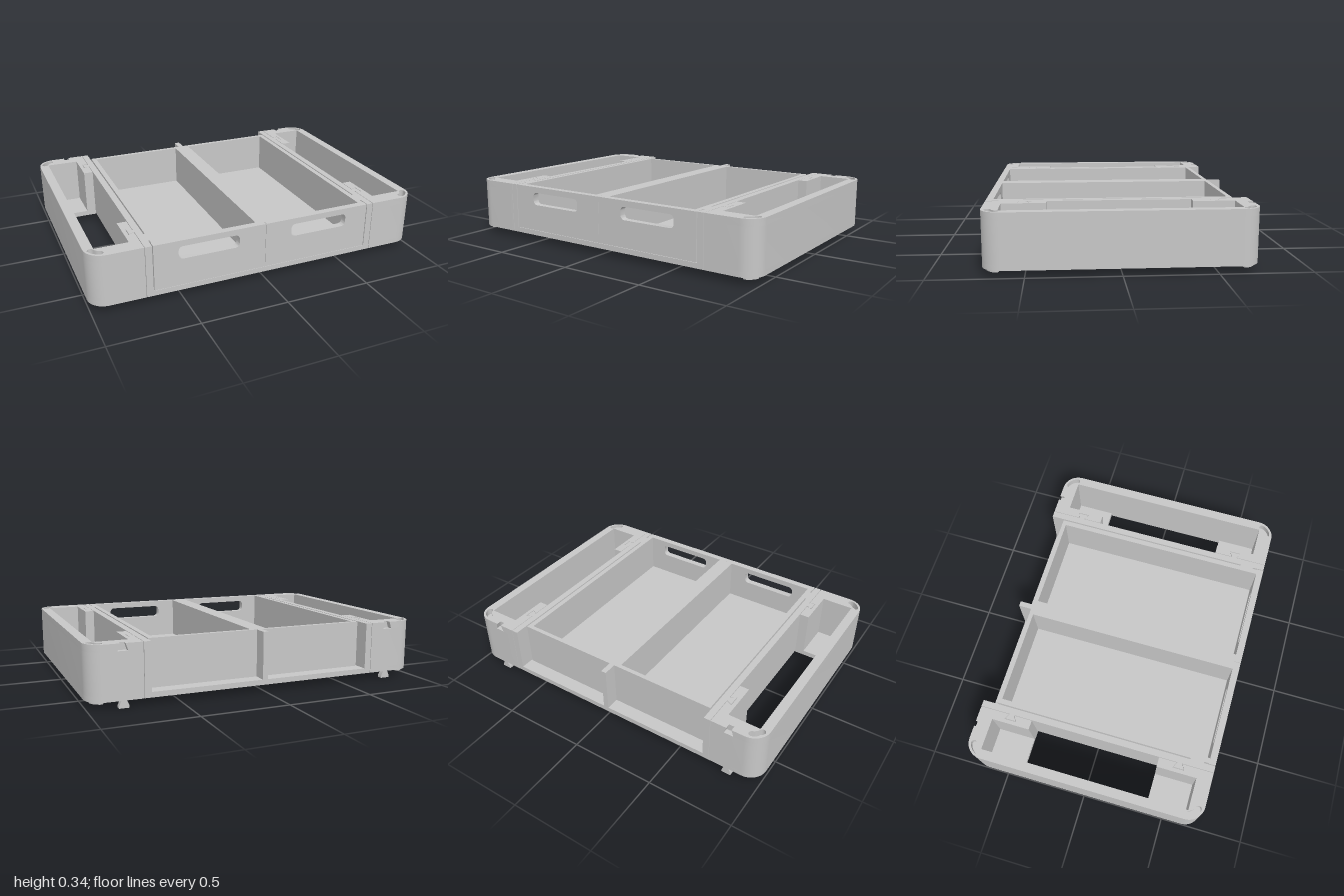
import * as THREE from 'three';
import { toCreasedNormals } from 'three/addons/utils/BufferGeometryUtils.js';

const grey = new THREE.MeshStandardMaterial({ color: 0xc7c7c7 });
grey.name = 'grey plastic';

function add(parent, name, geo) {
  const m = new THREE.Mesh(geo, grey);
  m.name = name;
  parent.add(m);
}

// Box given by its limits
function box(parent, name, x0, x1, y0, y1, z0, z1) {
  const g = new THREE.BoxGeometry(Math.abs(x1 - x0), y1 - y0, z1 - z0);
  add(parent, name, g.translate((x0 + x1) / 2, (y0 + y1) / 2, (z0 + z1) / 2));
}

// Extrusion of an outline with holes, scaled by sx, sy; outlines run anticlockwise
function extrude(pts, holes, sx, sy, depth) {
  const loop = list => {
    const p = list.map(([x, y]) => new THREE.Vector2(x * sx, y * sy));
    return THREE.ShapeUtils.isClockWise(p) ? p.reverse() : p;
  };
  const shape = new THREE.Shape(loop(pts));
  shape.holes = holes.map(h => new THREE.Path(loop(h).reverse()));
  return new THREE.ExtrudeGeometry(shape, { depth, bevelEnabled: false });
}

// Plan outline in [x, z], raised from y0 to y1; s = -1 mirrors it in x
function slab(parent, name, s, pts, holes, y0, y1) {
  const g = extrude(pts, holes, s, -1, y1 - y0).rotateX(-Math.PI / 2).translate(0, y0, 0);
  add(parent, name, toCreasedNormals(g, 0.6));
}

// Upright outline in [x, y], extruded from z0 to z1
function plate(parent, name, s, pts, holes, z0, z1) {
  const g = extrude(pts, holes, s, 1, z1 - z0).translate(0, 0, z0);
  add(parent, name, toCreasedNormals(g, 0.6));
}

const rect = (x0, x1, y0, y1) => [[x0, y0], [x1, y0], [x1, y1], [x0, y1]];

// Arc points, angles in degrees
function arc(cx, cy, r, a0, a1, n = 12) {
  return Array.from({ length: n + 1 }, (_, i) => {
    const a = THREE.MathUtils.degToRad(a0 + (a1 - a0) * i / n);
    return [cx + r * Math.cos(a), cy + r * Math.sin(a)];
  });
}

// Curved bean with round ends at a corner; e = +1 front, -1 back
function bean(e, w) {
  const r = 0.068, a0 = 20, a1 = 70;
  const [[sx, sy], [ex, ey]] = arc(0, 0, r, a0, a1, 1);
  return [
    ...arc(0, 0, r + w, a0, a1),
    ...arc(ex, ey, w, a1, a1 + 180, 6).slice(1),
    ...arc(0, 0, r - w, a1, a0).slice(1),
    ...arc(sx, sy, w, a0 + 180, a0 + 360, 6).slice(1, -1),
  ].map(([x, z]) => [0.9 + x, e * (0.62 + z)]);
}

// Dovetail profile along the seam, from x0 outwards; k is the clearance
const dovetail = (x0, z, k) => [[x0, z + 0.018 - k], [0.735 - k, z + 0.035 - k],
  [0.735 - k, z - 0.035 + k], [x0, z - 0.018 + k]];

const SEAM = 0.701;   // inner side of the side modules
const FRAME = 0.698;  // outer side of the middle frame

function sideModule(s) {
  const g = new THREE.Group();
  g.name = s > 0 ? 'leftSideModule' : 'rightSideModule';
  const outer = [...arc(0.9, -0.62, 0.1, -90, 0), ...arc(0.9, 0.62, 0.1, 0, 90), [SEAM, 0.72]];
  const inner = [
    ...dovetail(SEAM, 0.515, 0), [SEAM, 0.39], [0.757, 0.39], [0.757, 0.63], [0.945, 0.63],
    [0.945, -0.63], [0.757, -0.63], [0.757, -0.4], [SEAM, -0.4], ...dovetail(SEAM, -0.525, 0),
  ];
  const notch = [[SEAM, -0.72], [0.782, -0.72], [0.782, -0.69], [0.838, -0.69], [0.838, -0.72]];

  // Floor, walls and a top layer with corner sockets and a rear notch
  slab(g, 'sideFloor', s, [[SEAM, -0.72], ...outer, [SEAM, 0.39], [0.945, 0.39], [0.945, -0.4], [SEAM, -0.4]],
    [], 0.04, 0.07);
  slab(g, 'sideWalls', s, [[SEAM, -0.72], ...outer, ...inner], [], 0.07, 0.3);
  slab(g, 'sideRim', s, [...notch, ...outer, ...inner], [bean(1, 0.018), bean(-1, 0.018)], 0.3, 0.34);

  // Sloping cheeks make the rear notch a dovetail
  plate(g, 'notchCheek', s, [[0.782, 0.3], [0.795, 0.34], [0.782, 0.34]], [], -0.72, -0.69);
  plate(g, 'notchCheek', s, [[0.838, 0.3], [0.838, 0.34], [0.825, 0.34]], [], -0.72, -0.69);

  // Rear peg and curved corner feet
  plate(g, 'stackingPeg', s, [[0.782, 0], [0.838, 0], [0.838, 0.012], [0.825, 0.04], [0.795, 0.04], [0.782, 0.012]],
    [], -0.72, -0.69);
  for (const e of [1, -1]) slab(g, 'cornerFoot', s, bean(e, 0.013), [], 0.026, 0.04);
  return g;
}

function drawer(s) {
  const g = new THREE.Group();
  g.name = s > 0 ? 'leftDrawer' : 'rightDrawer';
  // Sides and back in one piece
  slab(g, 'drawerWalls', s, [[0.016, 0.68], [0.016, -0.64], [0.652, -0.64], [0.652, 0.68],
    [0.622, 0.68], [0.622, -0.615], [0.048, -0.615], [0.048, 0.68]], [], 0.07, 0.34);
  box(g, 'drawerFloor', s * 0.03, s * 0.64, 0.071, 0.09, -0.63, 0.69);
  // Front panel with a rounded hand slot
  const c = 0.025, x0 = 0.16, x1 = 0.515, y0 = 0.23, y1 = 0.305;
  const slot = [
    ...arc(x1 - c, y0 + c, c, -90, 0, 6), ...arc(x1 - c, y1 - c, c, 0, 90, 6),
    ...arc(x0 + c, y1 - c, c, 90, 180, 6), ...arc(x0 + c, y0 + c, c, 180, 270, 6),
  ];
  plate(g, 'drawerFront', s, rect(0.001, 0.655, 0.072, 0.34), [slot], 0.68, 0.72);
  return g;
}

function middleFrame() {
  const g = new THREE.Group();
  g.name = 'middleFrame';
  // Open base frame under the drawers
  slab(g, 'baseFrame', 1, rect(-FRAME, FRAME, -0.72, 0.72), [rect(-0.655, 0.655, -0.64, 0.57)], 0.04, 0.07);
  box(g, 'divider', -0.016, 0.016, 0.041, 0.34, -0.72, 0.68);
  for (const s of [1, -1]) {
    box(g, 'rail', s * 0.66, s * FRAME, 0.07, 0.34, -0.72, 0.72);
    box(g, 'drawerStop', s * 0.652, s * 0.66, 0.07, 0.34, 0.57, 0.65);
    for (const z of [0.515, -0.525]) slab(g, 'dovetailKey', s, dovetail(FRAME, z, 0.004), [], 0.07, 0.34);
  }
  return g;
}

export function createModel() {
  const model = new THREE.Group();
  model.name = 'drawerTray';
  model.add(middleFrame());
  for (const s of [1, -1]) model.add(sideModule(s), drawer(s));
  return model;
}
